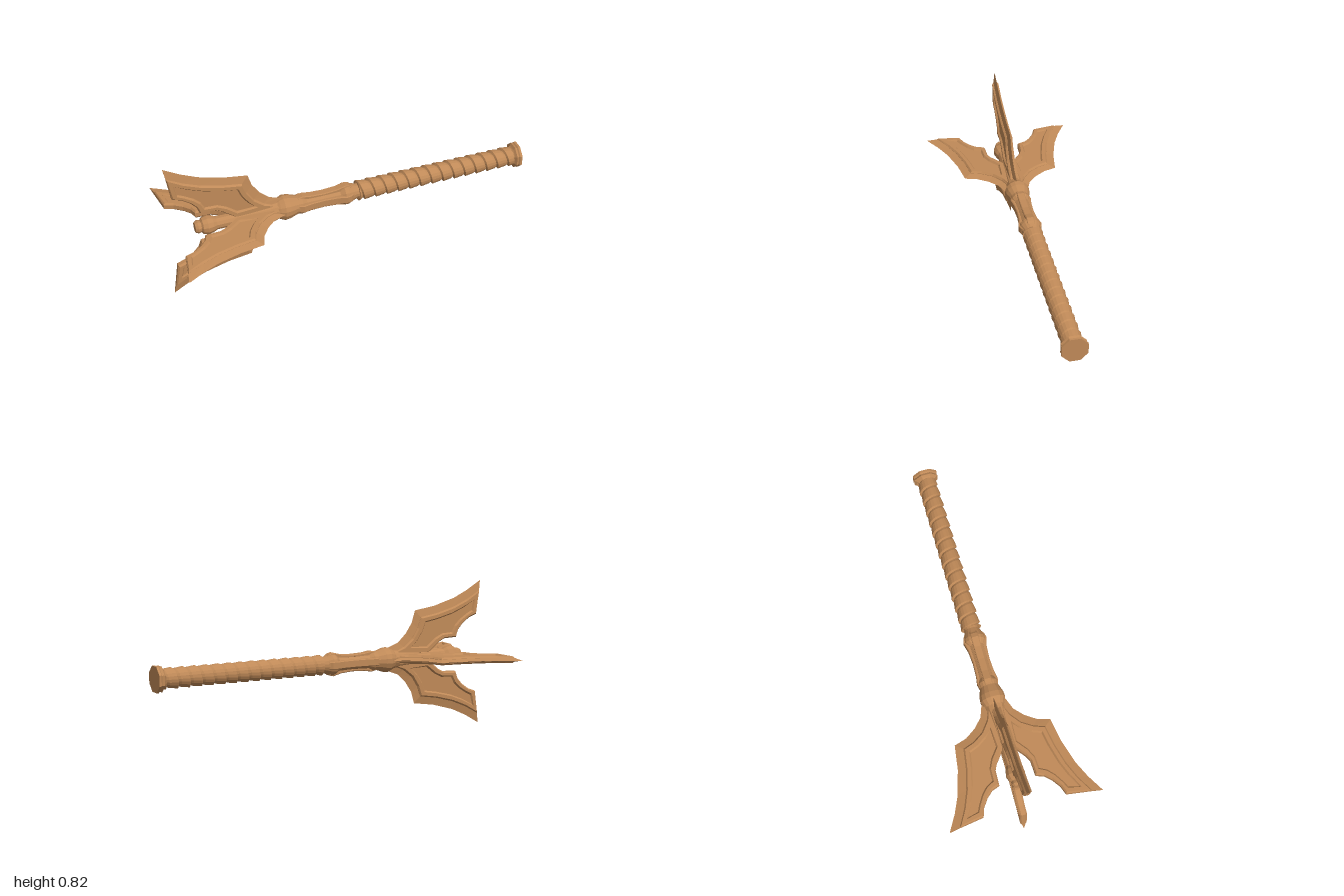
import * as THREE from 'three';

const AXIS_Y = 0.4125;
const material = new THREE.MeshStandardMaterial({ color: 0xc08a58, flatShading: true, side: THREE.DoubleSide });

function addMesh(parent, geometry, name) {
  const mesh = new THREE.Mesh(geometry, material);
  mesh.name = name;
  parent.add(mesh);
  return mesh;
}

// Turned part along x, from [x, radius] pairs
function turned(profile, sides) {
  const g = new THREE.LatheGeometry(profile.map(([x, r]) => new THREE.Vector2(r, x)), sides);
  return g.rotateZ(-Math.PI / 2).rotateX(Math.PI / sides);
}

const toPoints = (pts) => pts.map(([x, r]) => new THREE.Vector2(x, r));

// Plate centred on z = 0, with chamfered borders when chamfer > 0
function plate(shape, thickness, chamfer = 0) {
  const depth = thickness - 2 * chamfer;
  return new THREE.ExtrudeGeometry(shape, {
    depth, bevelEnabled: chamfer > 0, bevelThickness: chamfer, bevelSize: chamfer,
    bevelOffset: -chamfer, bevelSegments: 1,
  }).translate(0, 0, -depth / 2);
}

// Blades grow thicker towards the shaft
function thicken(g) {
  const p = g.attributes.position;
  for (let i = 0; i < p.count; i++) {
    p.setZ(i, p.getZ(i) * (1 + 0.4 * (1 - Math.min(1, p.getY(i) / 0.36))));
  }
  g.computeVertexNormals();
  return g;
}

// Sharpened strip: edge line at z = 0, inner line at z = +-half
function cuttingEdge(edge, inner, half) {
  const v = [];
  const ring = (i) => [[...edge[i], 0], [...inner[i], half], [...inner[i], -half]];
  for (let i = 0; i < edge.length - 1; i++) {
    const a = ring(i), b = ring(i + 1);
    for (let k = 0; k < 3; k++) {
      const n = (k + 1) % 3;
      v.push(...a[k], ...a[n], ...b[k], ...b[k], ...a[n], ...b[n]);
    }
  }
  const first = ring(0), last = ring(edge.length - 1);
  v.push(...first[0], ...first[2], ...first[1], ...last[0], ...last[1], ...last[2]);
  const g = new THREE.BufferGeometry();
  g.setAttribute('position', new THREE.Float32BufferAttribute(v, 3));
  g.computeVertexNormals();
  return g;
}

function createBlade() {
  const blade = new THREE.Group();
  const edge = [[-1, 0.4125], [-0.91, 0.36], [-0.82, 0.319], [-0.69, 0.282], [-0.56, 0.262],
    [-0.54, 0.195], [-0.5, 0.136], [-0.45, 0.09], [-0.385, 0.066]];
  const inner = [[-0.988, 0.355], [-0.9, 0.307], [-0.81, 0.27], [-0.7, 0.241], [-0.593, 0.224],
    [-0.572, 0.165], [-0.535, 0.108], [-0.48, 0.065], [-0.4, 0.03]];
  const back = [[-0.64, 0.02], [-0.69, 0.058], [-0.715, 0.078], [-0.75, 0.095], [-0.83, 0.098],
    [-0.845, 0.14], [-0.875, 0.173], [-0.92, 0.205], [-0.968, 0.222]];
  const opening = [[-0.95, 0.3], [-0.88, 0.262], [-0.8, 0.231], [-0.7, 0.206], [-0.623, 0.193],
    [-0.604, 0.145], [-0.57, 0.095], [-0.53, 0.06], [-0.63, 0.057], [-0.685, 0.1],
    [-0.735, 0.124], [-0.8, 0.127], [-0.82, 0.165], [-0.855, 0.198], [-0.9, 0.226], [-0.936, 0.244]];

  addMesh(blade, cuttingEdge(edge, inner, 0.01), 'cuttingEdge');

  // Raised chamfered frame around a sunken panel; the hole winds the other way
  const rim = new THREE.Shape(toPoints([...inner, ...back]));
  rim.holes.push(new THREE.Path(toPoints(opening).reverse()));
  addMesh(blade, thicken(plate(rim, 0.036, 0.008)), 'bladeRim');
  addMesh(blade, thicken(plate(new THREE.Shape(toPoints(opening)), 0.02)), 'bladePanel');
  return blade;
}

// Spiral-wrapped grip: profile knots repeated along a helix
function wrappedGrip(x0, x1, pitch, sides) {
  const knots = [[0, 0.044], [0.1, 0.056], [0.8, 0.05]];
  const pos = [], idx = [];
  const turns = Math.ceil((x1 - x0) / pitch) + 1;
  let rows = 0;
  for (let t = -1; t < turns; t++) {
    for (const [phase, r] of knots) {
      for (let j = 0; j <= sides; j++) {
        const a = (j / sides) * Math.PI * 2;
        const x = x0 + pitch * (t + phase + j / sides);
        pos.push(THREE.MathUtils.clamp(x, x0, x1), r * Math.cos(a), r * Math.sin(a));
      }
      rows++;
    }
  }
  const w = sides + 1;
  for (let i = 0; i < rows - 1; i++) {
    for (let j = 0; j < sides; j++) {
      const a = i * w + j;
      idx.push(a, a + 1, a + w, a + 1, a + w + 1, a + w);
    }
  }
  const g = new THREE.BufferGeometry();
  g.setAttribute('position', new THREE.Float32BufferAttribute(pos, 3));
  g.setIndex(idx);
  g.computeVertexNormals();
  return g;
}

export function createModel() {
  const mace = new THREE.Group();
  mace.name = 'flangedMace';
  mace.position.y = AXIS_Y;

  // Head core with end knob, and the hub the blades grow from
  addMesh(mace, turned([[-0.86, 0], [-0.86, 0.028], [-0.845, 0.036], [-0.828, 0.032], [-0.82, 0.044],
    [-0.795, 0.052], [-0.765, 0.046], [-0.745, 0.036], [-0.6, 0.037], [-0.45, 0.046], [-0.405, 0.053]], 12), 'headCore');
  addMesh(mace, turned([[-0.43, 0.04], [-0.4, 0.058], [-0.375, 0.069], [-0.345, 0.066], [-0.305, 0.053],
    [-0.285, 0.048], [-0.28, 0]], 16), 'hub');

  // Four identical blades
  for (let k = 0; k < 4; k++) {
    const blade = createBlade();
    blade.name = 'blade' + (k + 1);
    blade.rotation.x = (k * Math.PI) / 2;
    mace.add(blade);
  }

  // Waisted neck with four broad ribs and grooves between them
  addMesh(mace, turned([[-0.3, 0.052], [-0.275, 0.055], [-0.25, 0.042], [-0.15, 0.039], [-0.06, 0.042],
    [-0.035, 0.06], [-0.015, 0.06], [0.015, 0.048], [0.035, 0.041], [0.06, 0.041]], 16), 'neck');
  const ribShape = new THREE.Shape(toPoints([[-0.3, 0.03], [0.015, 0.03], [0.015, 0.044], [-0.005, 0.058],
    [-0.028, 0.064], [-0.08, 0.051], [-0.15, 0.046], [-0.22, 0.049], [-0.27, 0.057], [-0.3, 0.05]]));
  for (let k = 0; k < 4; k++) {
    addMesh(mace, plate(ribShape, 0.042, 0.004), 'neckRib').rotation.x = (k * Math.PI) / 2;
  }

  // Wrapped grip and octagonal pommel
  addMesh(mace, wrappedGrip(0.045, 0.97, 0.066, 20), 'wrappedGrip');
  addMesh(mace, turned([[0.95, 0.045], [0.962, 0.058], [0.97, 0.072], [0.982, 0.066], [0.988, 0.073],
    [1, 0.073], [1, 0]], 8), 'pommel');

  const root = new THREE.Group();
  root.add(mace);
  return root;
}
